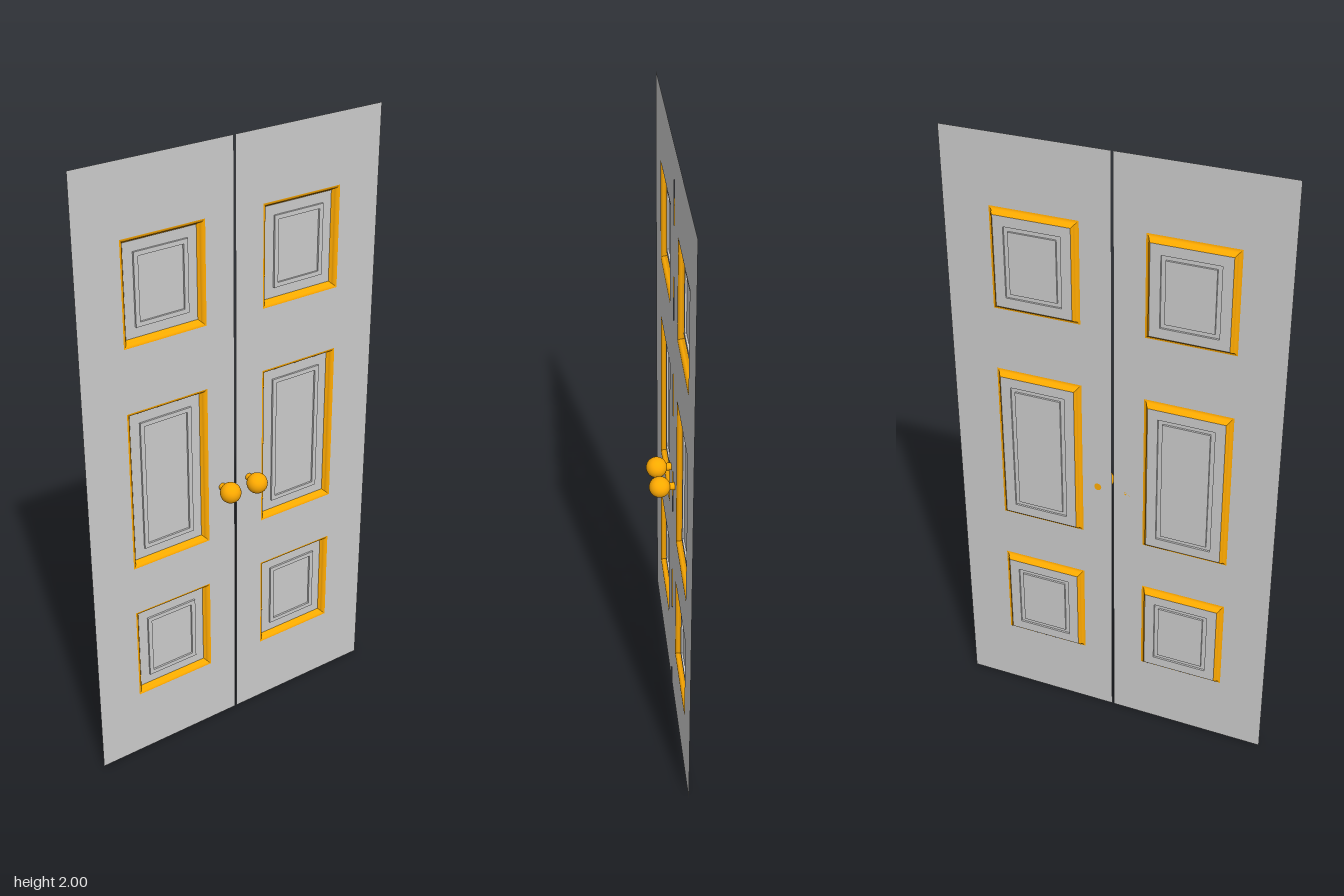
import * as THREE from 'three';

const FRONT = -0.032, BACK = -0.05;
const grey = new THREE.MeshStandardMaterial({ color: 0xcccccc, side: THREE.DoubleSide });
const greyFlat = new THREE.MeshStandardMaterial({ color: 0xcccccc, side: THREE.DoubleSide, flatShading: true });
const gold = new THREE.MeshStandardMaterial({ color: 0xffaa00, side: THREE.DoubleSide });

// Panel openings of one leaf: [x0, x1, y0, y1]
const PANELS = [
  ['top', 0.1, 0.377, 1.455, 1.78],
  ['middle', 0.1, 0.377, 0.715, 1.25],
  ['bottom', 0.1, 0.377, 0.228, 0.55],
];

// Sweeps a profile of [inset, z] points around a rectangle, with mitred corners
function rectSweep([x0, x1, y0, y1], profile) {
  const pos = [], idx = [];
  const corners = i => [[x0 + i, y0 + i], [x1 - i, y0 + i], [x1 - i, y1 - i], [x0 + i, y1 - i]];
  for (let side = 0; side < 4; side++) {
    const base = pos.length / 3;
    profile.forEach(([inset, z], k) => {
      const c = corners(inset);
      pos.push(...c[side], z, ...c[(side + 1) % 4], z);
      if (k) {
        const a = base + 2 * (k - 1);
        idx.push(a, a + 1, a + 3, a, a + 3, a + 2);
      }
    });
  }
  const g = new THREE.BufferGeometry();
  g.setAttribute('position', new THREE.Float32BufferAttribute(pos, 3));
  g.setIndex(idx);
  g.computeVertexNormals();
  return g;
}

function add(parent, name, geometry, material) {
  const m = new THREE.Mesh(geometry, material);
  m.name = name;
  parent.add(m);
  return m;
}

// Concave moulding section from the leaf face down to the panel
const cove = [];
for (let i = 0; i <= 6; i++) {
  const a = (i / 6) * Math.PI / 2;
  cove.push([0.012 * Math.sin(a), FRONT - 0.012 * (1 - Math.cos(a))]);
}
cove.push([0.018, BACK]);

// Sunken panel with a small square bead
const panelProfile = [[0.018, BACK], [0.05, BACK], [0.05, BACK + 0.006],
  [0.064, BACK + 0.006], [0.064, BACK]];

function rectPoints(x0, x1, y0, y1) {
  return [[x0, y0], [x1, y0], [x1, y1], [x0, y1]].map(p => new THREE.Vector2(...p));
}

function leaf(name, s) {
  const g = new THREE.Group();
  g.name = name;
  const span = (a, b) => (s > 0 ? [a, b] : [-b, -a]);

  // Leaf sheet with panel openings
  const sheet = new THREE.Shape(rectPoints(...span(0.003, 0.522), 0, 2));
  for (const [, a, b, y0, y1] of PANELS) {
    sheet.holes.push(new THREE.Path(rectPoints(...span(a, b), y0, y1).reverse()));
  }
  add(g, 'leafSheet', new THREE.ShapeGeometry(sheet), grey).position.z = FRONT;

  // Mouldings and panels
  for (const [label, a, b, y0, y1] of PANELS) {
    const r = [...span(a, b), y0, y1];
    add(g, label + 'Moulding', rectSweep(r, cove), gold);
    add(g, label + 'PanelBead', rectSweep(r, panelProfile), greyFlat);
    const inset = 0.128;
    add(g, label + 'PanelCentre', new THREE.PlaneGeometry(b - a - inset, y1 - y0 - inset), grey)
      .position.set((r[0] + r[1]) / 2, (y0 + y1) / 2, BACK);
  }

  // Door knob: stem and ball
  const knob = new THREE.Group();
  knob.name = 'knob';
  knob.position.set(s * 0.05, 0.896, 0);
  const stem = add(knob, 'knobStem', new THREE.CylinderGeometry(0.012, 0.012, 0.03, 24), gold);
  stem.rotation.x = Math.PI / 2;
  stem.position.z = FRONT + 0.015;
  add(knob, 'knobBall', new THREE.SphereGeometry(0.033, 32, 20), gold).position.z = 0.014;
  g.add(knob);
  return g;
}

export function createModel() {
  const model = new THREE.Group();
  model.name = 'doubleDoor';
  model.add(leaf('leftLeaf', 1), leaf('rightLeaf', -1));
  return model;
}
